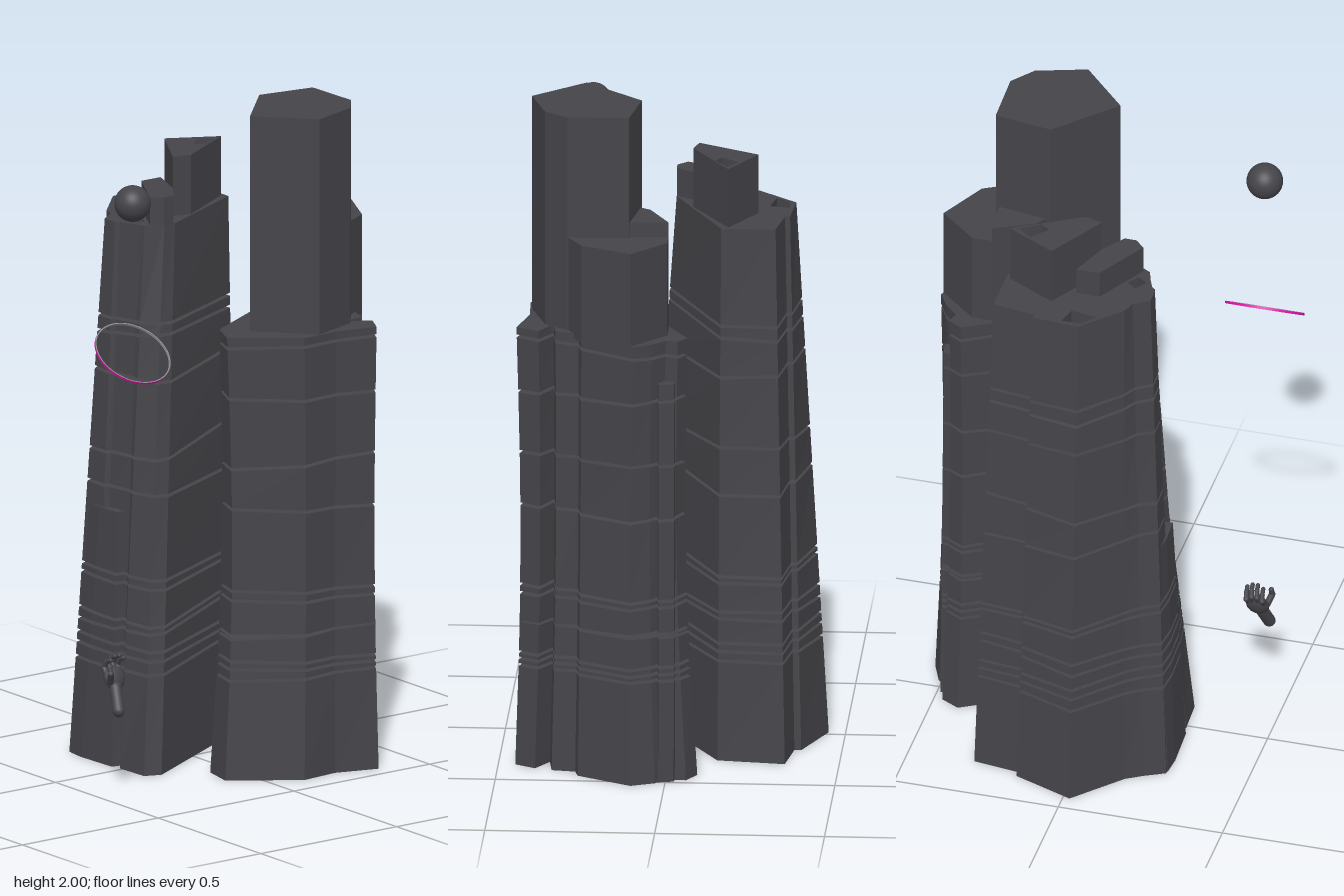
import * as THREE from 'three';

const stone = new THREE.MeshStandardMaterial({ color: 0x454449 });
stone.name = 'dark stone';
const magenta = new THREE.MeshStandardMaterial({ color: 0xe010a8 });
magenta.name = 'magenta';
const silver = new THREE.MeshStandardMaterial({ color: 0x8c8c8e });
silver.name = 'silver';

// Tilted cuts through the towers: y = a + b*x + c*z
const CUTS = [
  [0.30, 0, -0.02], [0.335, -0.01, 0.01], [0.362, -0.02, 0.02], [0.425, 0.01, -0.04], [0.445, -0.03, -0.02],
  [0.545, -0.02, 0.02], [0.57, -0.01, 0.03], [0.82, -0.015, 0.035], [0.945, 0, -0.05],
  [1.167, -0.04, 0], [1.3, 0.04, 0], [1.335, 0, 0.015],
];
const GAP = 0.01;

// Stack of slabs lofted from a bottom outline to a top outline of [x, z] points
function stack(name, bottom, top, y0, y1, { cuts = [], holes = [], waist = 0 } = {}) {
  const pos = [];
  const put = (...pts) => pts.forEach((p) => pos.push(p[0], p[1], p[2]));
  const cx = bottom.reduce((s, p) => s + p[0], 0) / bottom.length;
  const cz = bottom.reduce((s, p) => s + p[1], 0) / bottom.length;
  const onPlane = (p, [a, kx, kz]) => [p[0], a + kx * p[0] + kz * p[1], p[1]];
  const at = (b, t, plane) => {
    const yMid = onPlane(b, plane)[1];
    const f = (yMid - y0) / (y1 - y0);
    const w = 1 - waist * Math.sin(Math.PI * f);
    const x = b[0] + (t[0] - b[0]) * f, z = b[1] + (t[1] - b[1]) * f;
    return [cx + (x - cx) * w, yMid, cz + (z - cz) * w];
  };
  const cap = (plane, up) => {
    const ring = bottom.map((b, i) => at(b, top[i], plane));
    const inner = holes.map((h) => h.map((p) => onPlane(p, plane)));
    const flat = (r) => r.map((p) => new THREE.Vector2(p[0], p[2]));
    const all = ring.concat(...inner);
    for (const [i, j, k] of THREE.ShapeUtils.triangulateShape(flat(ring), inner.map(flat))) {
      const [a, b, c] = [all[i], all[j], all[k]];
      const ny = (b[2] - a[2]) * (c[0] - a[0]) - (b[0] - a[0]) * (c[2] - a[2]);
      if ((ny > 0) === up) put(a, b, c); else put(a, c, b);
    }
  };
  const levels = [[y0, 0, 0], ...cuts, [y1, 0, 0]];
  for (let s = 0; s < levels.length - 1; s++) {
    const lo = [...levels[s]], hi = [...levels[s + 1]];
    if (s > 0) lo[0] += GAP / 2;
    if (s < levels.length - 2) hi[0] -= GAP / 2;
    // Outer walls
    bottom.forEach((b, i) => {
      const j = (i + 1) % bottom.length;
      const A = at(b, top[i], lo), B = at(bottom[j], top[j], lo);
      const C = at(b, top[i], hi), D = at(bottom[j], top[j], hi);
      put(A, C, B, B, C, D);
    });
    // Shaft walls, facing into the shaft
    for (const h of holes) {
      h.forEach((p, i) => {
        const q = h[(i + 1) % h.length];
        const A = onPlane(p, lo), B = onPlane(q, lo), C = onPlane(p, hi), D = onPlane(q, hi);
        put(A, B, C, B, D, C);
      });
    }
    cap(lo, false);
    cap(hi, true);
  }
  const g = new THREE.BufferGeometry();
  g.setAttribute('position', new THREE.Float32BufferAttribute(pos, 3));
  g.computeVertexNormals();
  const m = new THREE.Mesh(g, stone);
  m.name = name;
  return m;
}

// Rounded limb segment between two points
function limb(name, a, b, r) {
  const A = new THREE.Vector3(...a), B = new THREE.Vector3(...b);
  const m = new THREE.Mesh(new THREE.CapsuleGeometry(r, A.distanceTo(B), 4, 10), stone);
  m.position.copy(A).lerp(B, 0.5);
  m.quaternion.setFromUnitVectors(new THREE.Vector3(0, 1, 0), B.sub(A).normalize());
  m.name = name;
  return m;
}

// Surface of revolution from [radius, y] points
function turned(name, points, material) {
  const m = new THREE.Mesh(new THREE.LatheGeometry(points.map((p) => new THREE.Vector2(...p)), 96), material);
  m.name = name;
  return m;
}

function group(name, ...parts) {
  const g = new THREE.Group();
  g.name = name;
  g.add(...parts);
  return g;
}

function shortTower() {
  const bottom = [[-0.34, -0.3], [-0.14, -0.275], [0.12, 0.2], [0.1, 0.25], [-0.01, 0.255], [-0.03, 0.235], [-0.13, 0.235],
    [-0.14, 0.255], [-0.25, 0.26], [-0.28, 0.2], [-0.31, 0.15], [-0.45, 0.02], [-0.38, -0.16], [-0.36, -0.16]];
  const top = [[-0.31, -0.25], [-0.15, -0.25], [0, 0.06], [0, 0.1], [-0.03, 0.15], [-0.05, 0.155], [-0.11, 0.18],
    [-0.12, 0.19], [-0.17, 0.19], [-0.2, 0.145], [-0.24, 0.13], [-0.355, 0.02], [-0.345, -0.12], [-0.33, -0.12]];
  // Open shafts through the roof and floors
  const shaft = [[-0.165, -0.215], [-0.127, -0.155], [-0.145, -0.125], [-0.197, -0.167]];
  const holes = [
    shaft,
    [[-0.338, -0.035], [-0.28, -0.02], [-0.295, 0.06], [-0.338, 0.025]],
    [[-0.1, 0.1], [-0.065, 0.125], [-0.085, 0.155], [-0.12, 0.13]],
  ];
  const high = [[-0.17, -0.238], [-0.055, -0.04], [-0.07, 0.015], [-0.25, -0.09]];
  const low = [[-0.19, -0.03], [-0.07, 0.015], [0, 0.065], [0, 0.1], [-0.03, 0.13], [-0.19, 0.04]];
  return group('shortTower',
    stack('shortTowerBody', bottom, top, 0, 1.63, { cuts: CUTS, holes }),
    stack('upperRoofBlock', high, high, 1.6, 1.81, { holes: [shaft] }),
    stack('lowerRoofBlock', low, low, 1.6, 1.715),
    stack('frontButtress', [[-0.24, 0.2], [-0.03, 0.2], [-0.04, 0.262], [-0.18, 0.268], [-0.24, 0.262]],
      [[-0.21, 0.16], [-0.06, 0.16], [-0.06, 0.228], [-0.14, 0.232], [-0.21, 0.225]], 0, 0.765, { cuts: CUTS.slice(0, 7) }));
}

function tallTower() {
  const bottom = [[-0.09, -0.42], [-0.06, -0.475], [0, -0.47], [0.03, -0.51], [0.1, -0.54], [0.26, -0.45], [0.27, -0.41],
    [0.34, -0.4], [0.35, -0.32], [0.39, -0.385], [0.45, -0.35], [0.41, -0.22], [0.42, -0.1], [0.285, 0.09], [0.185, 0.07]];
  const top = [[-0.06, -0.42], [-0.035, -0.46], [0, -0.45], [0.04, -0.49], [0.09, -0.52], [0.25, -0.44], [0.26, -0.4],
    [0.33, -0.38], [0.34, -0.31], [0.38, -0.38], [0.447, -0.345], [0.415, -0.22], [0.42, -0.1], [0.28, 0.08], [0.19, 0.04]];
  const shaft = [[0.115, -0.36], [0.295, -0.365], [0.365, -0.31], [0.413, -0.16], [0.26, -0.02], [0.087, -0.185]];
  const back = [[0, -0.4], [0.1, -0.515], [0.25, -0.44], [0.3, -0.35], [0.12, -0.33], [0, -0.34]];
  const side = [[0, -0.34], [0.12, -0.35], [0.12, -0.18], [0.06, -0.22]];
  const rear = [[-0.025, -0.49], [0.02, -0.5], [0.03, -0.44], [-0.03, -0.44]];
  return group('tallTower',
    stack('tallTowerBody', bottom, top, 0, 1.345, { cuts: CUTS.slice(0, 11), waist: 0.06 }),
    stack('tallShaft', shaft, shaft, 1.33, 2),
    stack('backBlock', back, back, 1.33, 1.63),
    stack('sideBlock', side, side, 1.33, 1.675),
    stack('rearButtress', rear, rear.map(([x, z]) => [x, z + 0.01]), 0, 1.22, { cuts: CUTS.slice(0, 10) }));
}

function hand() {
  const palm = new THREE.Mesh(new THREE.SphereGeometry(1, 16, 12), stone);
  palm.name = 'palm';
  palm.scale.set(0.02, 0.038, 0.035);
  palm.position.set(0.18, 0.345, 0.42);
  palm.rotation.z = 0.4;
  const parts = [palm, limb('wrist', [0.23, 0.258, 0.442], [0.195, 0.32, 0.427], 0.019)];
  // Four curled fingers
  for (let i = 0; i < 4; i++) {
    const z = 0.442 - i * 0.016, h = i === 0 || i === 3 ? -0.01 : 0;
    const path = [[0.168, 0.362, z], [0.156, 0.385 + h, z - 0.002], [0.166, 0.403 + h, z - 0.004], [0.184, 0.411 + h, z - 0.006]];
    for (let k = 0; k < 3; k++) parts.push(limb('finger', path[k], path[k + 1], 0.0085 - k * 0.001));
  }
  parts.push(limb('thumb', [0.195, 0.34, 0.445], [0.21, 0.368, 0.456], 0.01));
  parts.push(limb('thumbTip', [0.21, 0.368, 0.456], [0.205, 0.388, 0.455], 0.008));
  return group('hand', ...parts);
}

export function createModel() {
  // Floating ball
  const ball = new THREE.Mesh(new THREE.SphereGeometry(0.054, 32, 20), stone);
  ball.name = 'ball';
  ball.position.set(0.267, 1.807, 0.418);

  // Tilted flat hoop: coloured outside, silver inside and on its rims
  const R = 0.118, r = 0.1145, h = 0.0035;
  const ring = group('ring',
    turned('hoopBand', [[R, -h], [R, h]], magenta),
    turned('hoopLining', [[r, h], [r, -h]], silver),
    turned('hoopTopRim', [[R, h], [r, h]], silver),
    turned('hoopBottomRim', [[r, -h], [R, -h]], silver));
  ring.position.set(0.267, 1.35, 0.418);
  ring.rotation.z = -0.62;

  return group('model', shortTower(), tallTower(), ball, ring, hand());
}
